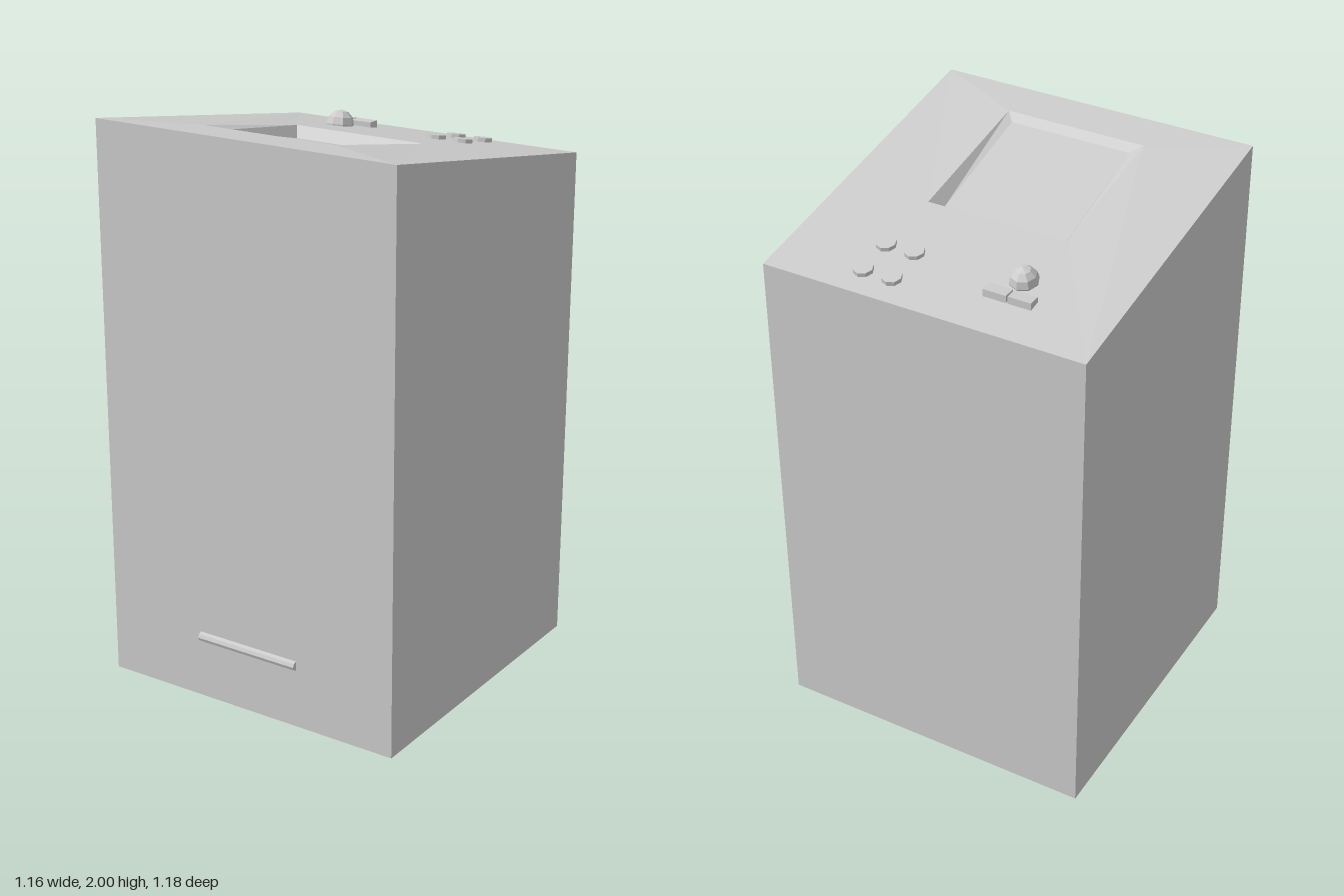
import * as THREE from 'three';

const TILT = -Math.atan(0.19 / 1.16);
// height of the sloped top at depth z
const topY = (z) => 2 + (z - 0.57) * (0.19 / 1.16);

// four corners, counter-clockwise from above, front pair first
const loop = (x, zFront, yFront, zBack, yBack) => [
  [-x, yFront, zFront], [x, yFront, zFront], [x, yBack, zBack], [-x, yBack, zBack],
];

function loft(loops) {
  const pos = [];
  const quad = (a, b, c, d) => pos.push(...a, ...b, ...c, ...a, ...c, ...d);
  for (let k = 0; k < loops.length - 1; k++) {
    const lo = loops[k], up = loops[k + 1];
    for (let i = 0; i < 4; i++) {
      const j = (i + 1) % 4;
      quad(lo[i], lo[j], up[j], up[i]);
    }
  }
  const base = loops[0];
  quad(base[3], base[2], base[1], base[0]);
  quad(...loops[loops.length - 1]);
  const g = new THREE.BufferGeometry();
  g.setAttribute('position', new THREE.Float32BufferAttribute(pos, 3));
  g.computeVertexNormals();
  return g;
}

export function createModel() {
  const group = new THREE.Group();
  const mat = new THREE.MeshStandardMaterial({ color: 0xcccccc, flatShading: true });
  const add = (name, geo, x, y, z, tilt = 0) => {
    const m = new THREE.Mesh(geo, mat);
    m.name = name;
    m.position.set(x, y, z);
    m.rotation.x = tilt;
    group.add(m);
    return m;
  };

  // cabinet with sloped top and sunken screen
  add('cabinet', loft([
    loop(0.58, 0.57, 0, -0.59, 0),
    loop(0.58, 0.57, 2, -0.59, 1.81),
    loop(0.257, 0.415, 1.988, -0.112, 1.891),
    loop(0.225, 0.38, 1.968, -0.065, 1.857),
  ]), 0, 0, 0);

  // trackball dome
  add('trackball', new THREE.SphereGeometry(0.05, 8, 6), -0.227, topY(-0.335) + 0.006, -0.335, TILT);

  // pair of flat keys
  for (const x of [-0.272, -0.184]) {
    add('key', new THREE.BoxGeometry(0.082, 0.04, 0.044), x, 1.84, -0.424);
  }

  // four round buttons
  for (const x of [0.158, 0.264]) {
    for (const z of [-0.49, -0.355]) {
      add('button', new THREE.CylinderGeometry(0.034, 0.034, 0.03, 8), x, topY(z), z, TILT);
    }
  }

  // front handle bar
  const bar = add('handle', new THREE.CylinderGeometry(0.017, 0.017, 0.4, 8), 0, 0.23, 0.571);
  bar.rotation.z = Math.PI / 2;

  return group;
}
